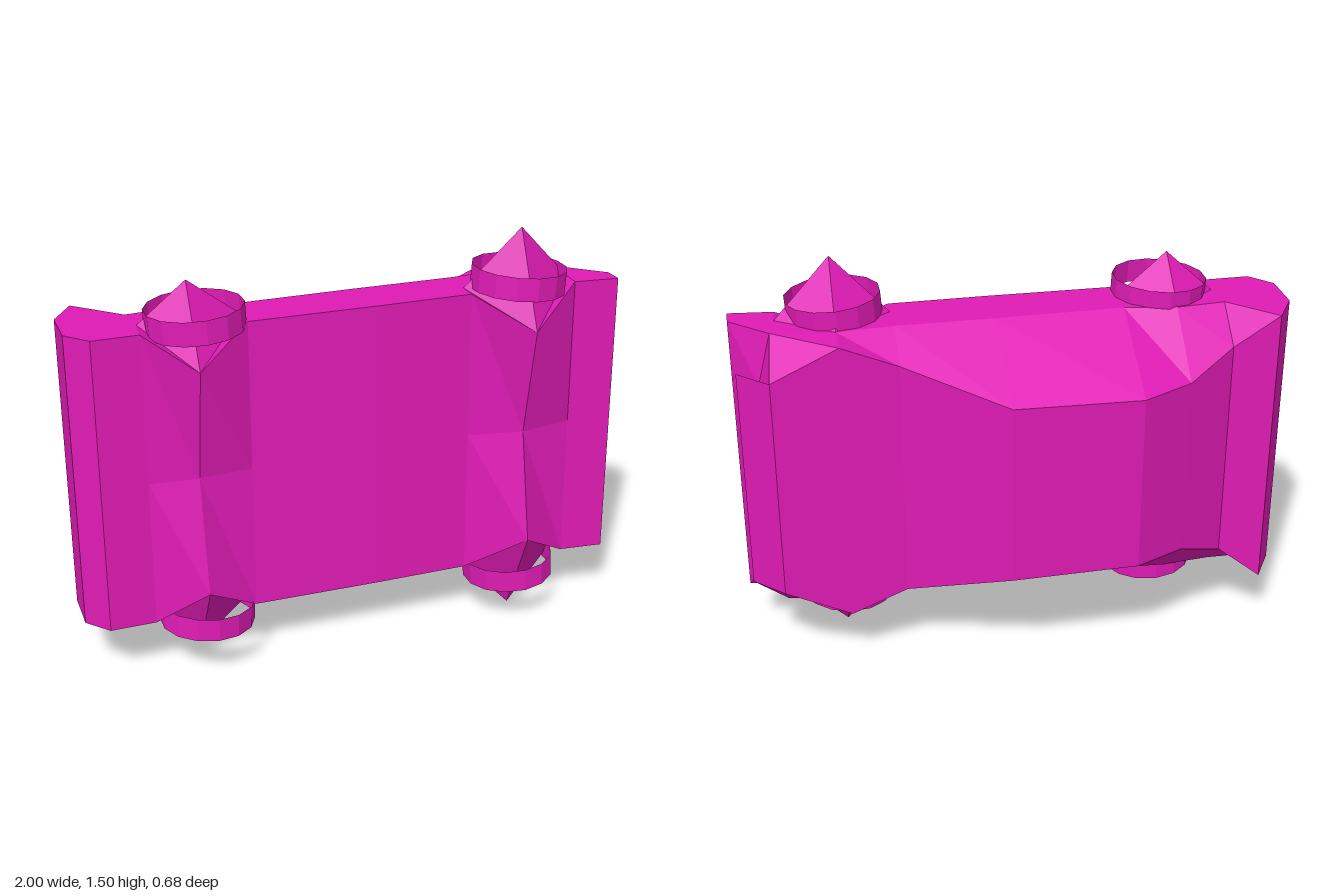
import * as THREE from 'three';

// Faceted car lying on its side: length along x, width along y, roof towards -z.
// Each station lists [x, half width, z] for: roof edge, belt line, hub line, sill;
// the last number is the z of the floor's centre line.
const STATIONS = [
  [[-1, 0.54, -0.03], [-1, 0.54, 0.03], [-1, 0.54, 0.1], [-1, 0.54, 0.14], 0.14],
  [[-0.925, 0.54, -0.16], [-0.925, 0.54, 0], [-0.925, 0.54, 0.12], [-0.925, 0.54, 0.225], 0.225],
  [[-0.765, 0.42, -0.135], [-0.765, 0.54, 0], [-0.75, 0.54, 0.12], [-0.76, 0.54, 0.22], 0.22],
  [[-0.585, 0.34, -0.235], [-0.583, 0.54, -0.02], [-0.583, 0.69, 0.15], [-0.583, 0.415, 0.31], 0.23], // rear wheel
  [[-0.395, 0.335, -0.33], [-0.395, 0.54, 0.01], [-0.39, 0.54, 0.12], [-0.39, 0.54, 0.21], 0.21],
  [[0.07, 0.342, -0.335], [0.07, 0.54, -0.005], [0.07, 0.54, 0.12], [0.07, 0.54, 0.205], 0.205],
  [[0.43, 0.45, -0.155], [0.43, 0.54, -0.01], [0.43, 0.54, 0.12], [0.43, 0.54, 0.195], 0.195],
  [[0.635, 0.535, -0.155], [0.635, 0.54, -0.03], [0.635, 0.752, 0.15], [0.635, 0.41, 0.31], 0.23], // front wheel
  [[0.875, 0.42, -0.155], [0.86, 0.54, 0], [0.84, 0.54, 0.11], [0.835, 0.54, 0.19], 0.19],
  [[0.985, 0.42, -0.05], [0.91, 0.345, 0], [1, 0.54, 0.13], [1, 0.54, 0.205], 0.205], // nose
];

// Full loop of a station: four points, floor centre, four mirrored points
function loop(station) {
  const half = station.slice(0, 4);
  const mirrored = half.map(([x, y, z]) => [x, -y, z]).reverse();
  return [...half, [half[3][0], 0, station[4]], ...mirrored];
}

function bodyGeometry() {
  const pos = [];
  const tri = (a, b, c) => pos.push(...a, ...b, ...c);
  const loops = STATIONS.map(loop);
  const isHub = (p) => Math.abs(p[1]) > 0.6;

  // Skin between stations; diagonals keep clear of the hub points
  for (let i = 0; i < loops.length - 1; i++) {
    for (let j = 0; j < 9; j++) {
      const k = (j + 1) % 9;
      const a = loops[i][j], b = loops[i + 1][j], c = loops[i + 1][k], d = loops[i][k];
      if (isHub(a) || isHub(c)) {
        tri(a, d, b);
        tri(d, c, b);
      } else {
        tri(a, d, c);
        tri(a, c, b);
      }
    }
  }

  // End faces: a keel point in the middle, triangles around it, then a bumper strip
  const cap = (p, keel, flip) => {
    const t = (a, b, c) => (flip ? tri(a, c, b) : tri(a, b, c));
    const ring = [p[0], p[1], p[2], p[6], p[7], p[8]];
    ring.forEach((q, i) => t(q, ring[(i + 1) % 6], keel));
    t(p[2], p[3], p[4]);
    t(p[2], p[4], p[6]);
    t(p[6], p[4], p[5]);
  };
  cap(loops[0], [-1, 0, 0.03], true);
  cap(loops[loops.length - 1], [0.975, 0, 0.07], false);

  const geo = new THREE.BufferGeometry();
  geo.setAttribute('position', new THREE.Float32BufferAttribute(pos, 3));
  geo.computeVertexNormals();
  return geo;
}

export function createModel() {
  const model = new THREE.Group();
  model.name = 'car';
  const paint = new THREE.MeshStandardMaterial({ color: 0xe01bb5, flatShading: true });
  const thin = paint.clone();
  thin.side = THREE.DoubleSide;

  const car = new THREE.Group();
  car.name = 'carOnItsSide';
  car.position.y = 0.754;
  car.rotation.x = -0.02;
  model.add(car);

  const body = new THREE.Mesh(bodyGeometry(), paint);
  body.name = 'body';
  car.add(body);

  // Open, slightly tilted tyre rings around the pointed hubs
  const tyre = new THREE.CylinderGeometry(0.172, 0.172, 0.085, 14, 1, true);
  for (const side of [1, -1]) {
    for (const [name, x, y, tilt] of [['front', 0.628, 0.57, -0.07], ['rear', -0.557, 0.556, 0.05]]) {
      const ring = new THREE.Mesh(tyre, thin);
      ring.name = `${name}${side > 0 ? 'Upper' : 'Lower'}Tyre`;
      ring.position.set(x, side * y, 0.15);
      ring.rotation.z = side * tilt;
      car.add(ring);
    }
  }
  return model;
}
